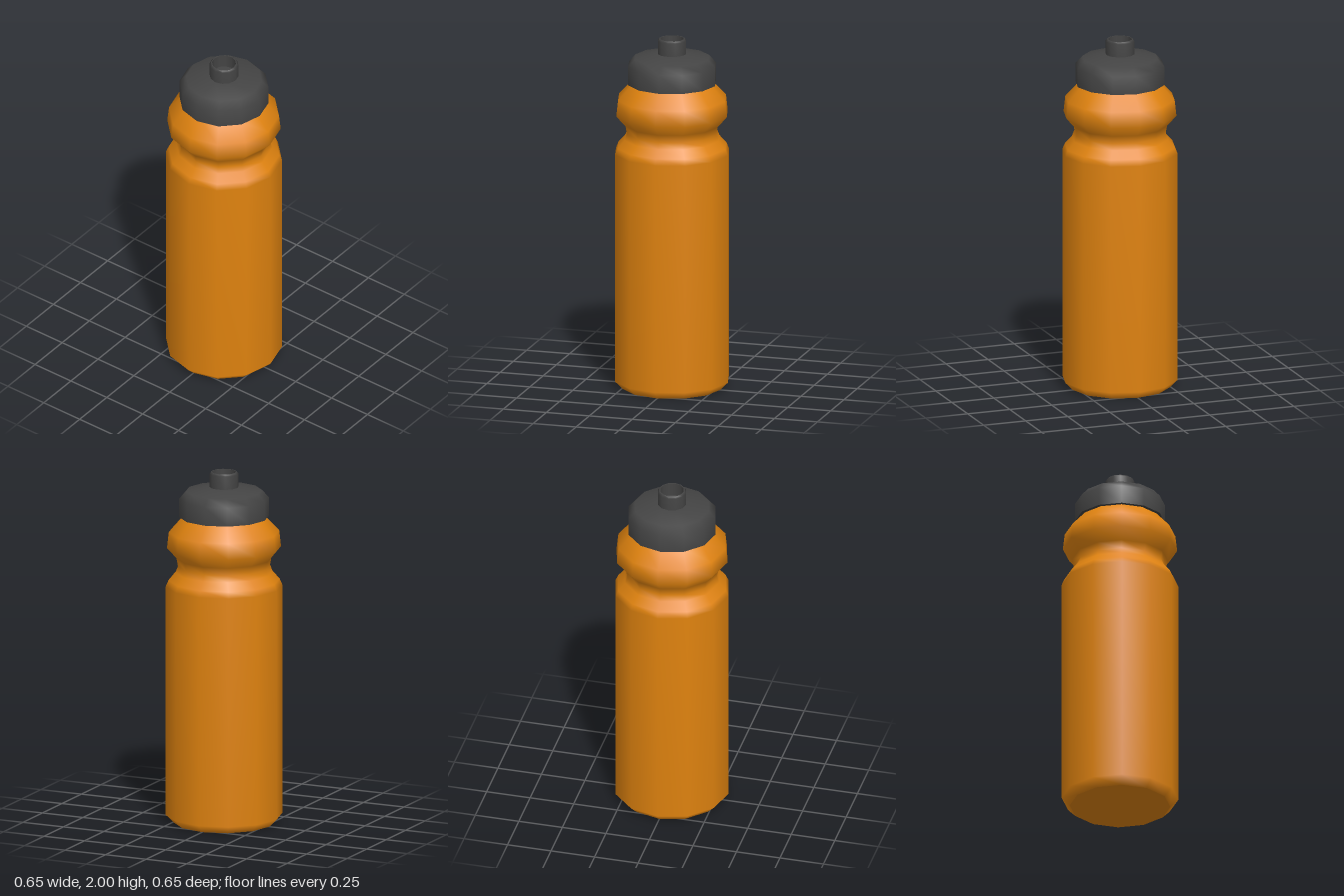
import * as THREE from 'three';

const SIDES = 12;

// Smooth twelve-sided surface of revolution; profile runs [radius, y] up the outside
function turned(name, profile, material) {
  const points = profile.map(([r, y]) => new THREE.Vector2(r, y));
  const mesh = new THREE.Mesh(new THREE.LatheGeometry(points, SIDES), material);
  mesh.name = name;
  return mesh;
}

export function createModel() {
  const orange = new THREE.MeshStandardMaterial({ color: 0xe0830f });
  orange.name = 'orange plastic';
  const grey = new THREE.MeshStandardMaterial({ color: 0x444444 });
  grey.name = 'dark grey plastic';

  const model = new THREE.Group();
  model.name = 'sportsBottle';

  // Bottle: base, straight wall, grip groove and shoulder bulge
  const bottle = new THREE.Group();
  bottle.name = 'bottle';
  bottle.add(
    turned('base', [[0, 0], [0.28, 0]], orange),
    turned('body', [
      [0.28, 0], [0.325, 0.045], [0.325, 1.35], [0.31, 1.385], [0.27, 1.43],
      [0.257, 1.465], [0.265, 1.51], [0.318, 1.57], [0.308, 1.66], [0.225, 1.75],
    ], orange),
  );

  // Lid: underside, then skirt and sloping top
  const lid = new THREE.Group();
  lid.name = 'lid';
  lid.add(
    turned('lidUnderside', [[0, 1.745], [0.25, 1.745]], grey),
    turned('lidShell', [[0.25, 1.745], [0.25, 1.85], [0.212, 1.893], [0.08, 1.915], [0, 1.915]], grey),
  );

  // Spout: outer wall with bevelled rim, hollow inside
  const spout = new THREE.Group();
  spout.name = 'spout';
  spout.add(
    turned('spoutWall', [[0.081, 1.9], [0.081, 1.99], [0.072, 2]], grey),
    turned('spoutRim', [[0.072, 2], [0.067, 2]], grey),
    turned('spoutBore', [[0.067, 2], [0.067, 1.925]], grey),
    turned('spoutFloor', [[0.067, 1.925], [0, 1.925]], grey),
  );

  model.add(bottle, lid, spout);
  return model;
}
